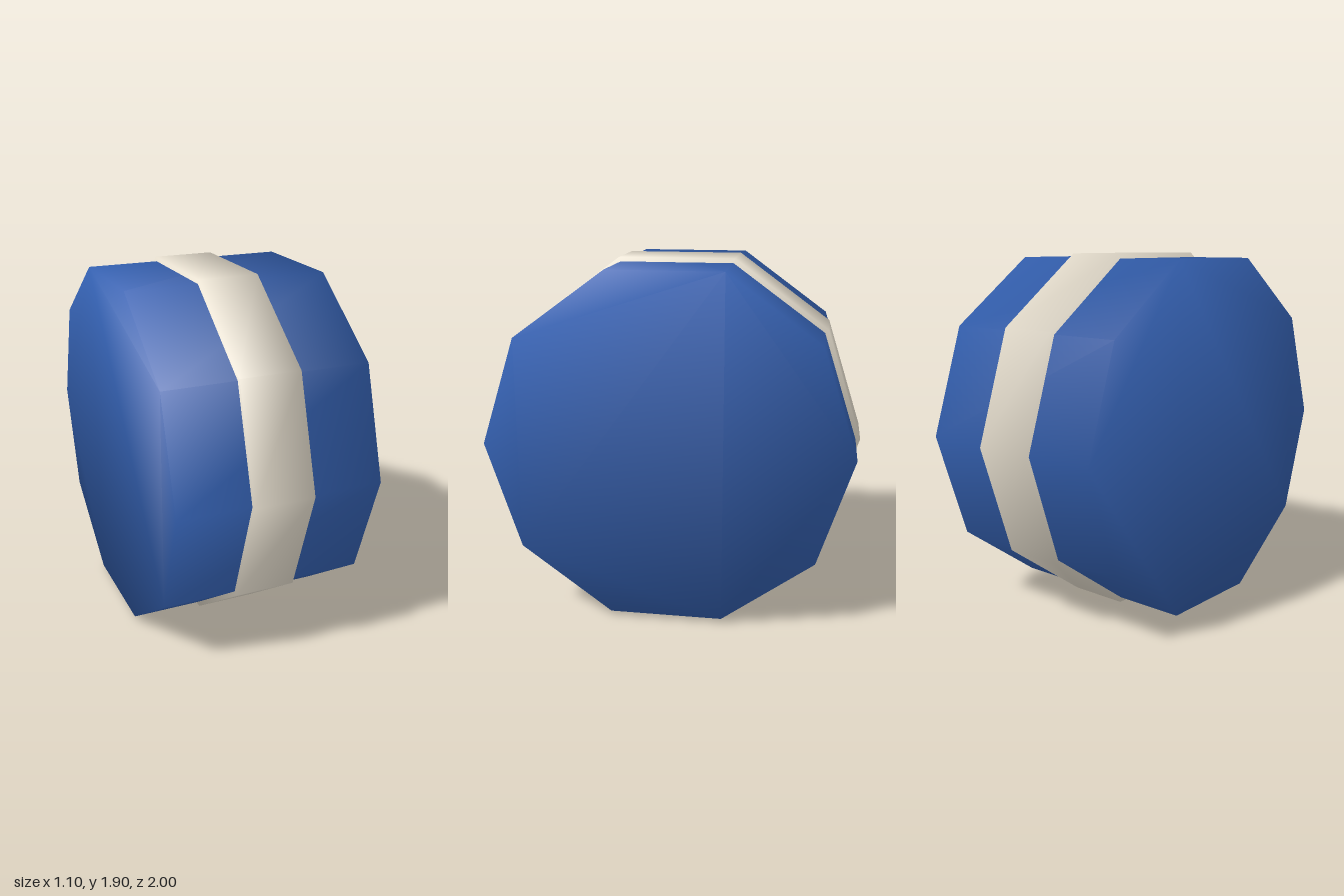
import * as THREE from 'three';

const SIDES = 10;
const CENTRE_Y = Math.cos(Math.PI / SIDES); // band rests on one flat side
const RIM_TILT = THREE.MathUtils.degToRad(41); // soft rim normals lean outward

// Ten-sided solid drum lying along x, shaded smoothly over its rims
function drum(name, radius, width, color) {
  const corners = Array.from({ length: SIDES }, (_, i) => {
    const a = (i / SIDES) * Math.PI * 2;
    return new THREE.Vector2(Math.cos(a) * radius, Math.sin(a) * radius);
  });
  const geometry = new THREE.ExtrudeGeometry(new THREE.Shape(corners), {
    depth: width, bevelEnabled: false, steps: 1,
  });
  geometry.translate(0, 0, -width / 2);
  geometry.rotateY(Math.PI / 2);

  // One shared normal per corner, so sides and caps blend into each other
  const { position, normal } = geometry.attributes;
  const radial = Math.cos(RIM_TILT) / radius;
  for (let i = 0; i < position.count; i++) {
    normal.setXYZ(
      i,
      Math.sign(position.getX(i)) * Math.sin(RIM_TILT),
      position.getY(i) * radial,
      position.getZ(i) * radial,
    );
  }

  const mesh = new THREE.Mesh(geometry, new THREE.MeshStandardMaterial({ color }));
  mesh.name = name;
  mesh.position.y = CENTRE_Y;
  return mesh;
}

export function createModel() {
  const model = new THREE.Group();
  model.name = 'bandedDrum';
  model.add(drum('drumBody', 0.975, 1.1, 0x3460b0));
  model.add(drum('centreBand', 1, 0.326, 0xe6dece));
  return model;
}
